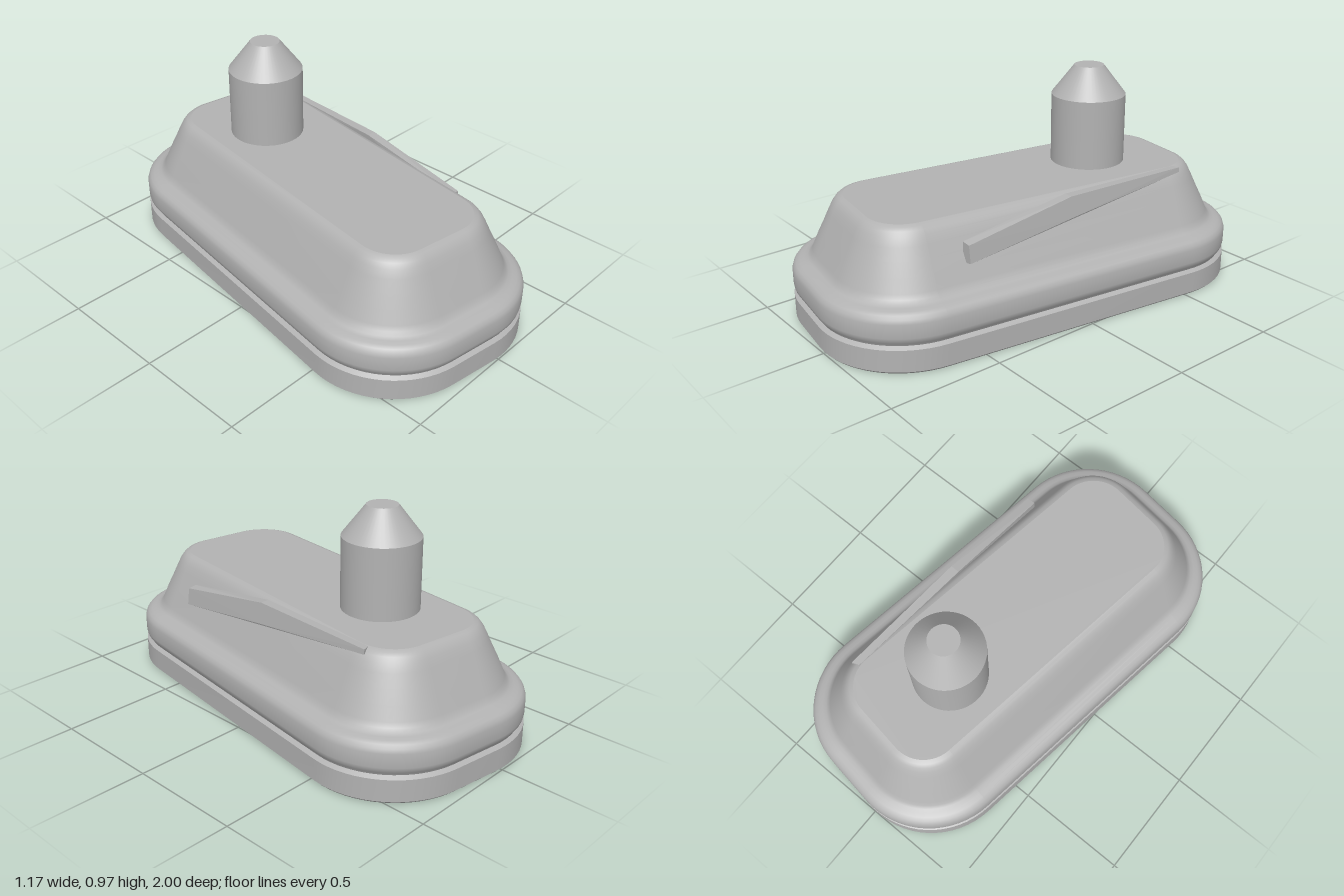
import * as THREE from 'three';
import { toCreasedNormals } from 'three/addons/utils/BufferGeometryUtils.js';
import { ConvexGeometry } from 'three/addons/geometries/ConvexGeometry.js';

const HALF_W = 0.497, HALF_L = 0.99, RADIUS = 0.385, ARC = 16;

// rounded rectangle outline, inset by d, as [x, z] pairs
function outline(d) {
  const r = RADIUS - d, cx = HALF_W - RADIUS, cz = HALF_L - RADIUS;
  const pts = [];
  [[1, 1], [-1, 1], [-1, -1], [1, -1]].forEach(([sx, sz], q) => {
    for (let i = 0; i <= ARC; i++) {
      const a = (q + i / ARC) * Math.PI / 2;
      pts.push(new THREE.Vector2(sx * cx + r * Math.cos(a), sz * cz + r * Math.sin(a)));
    }
  });
  return pts;
}

// wall lofted through a profile of [inset, height]
function loft(profile, crease) {
  const pos = [], idx = [];
  profile.forEach(([d, y]) => outline(d).forEach(p => pos.push(p.x, y, p.y)));
  const n = 4 * (ARC + 1);
  for (let j = 0; j < profile.length - 1; j++) {
    for (let i = 0; i < n; i++) {
      const a = j * n + i, b = j * n + (i + 1) % n;
      idx.push(a, a + n, b, b, a + n, b + n);
    }
  }
  const g = new THREE.BufferGeometry();
  g.setAttribute('position', new THREE.Float32BufferAttribute(pos, 3));
  g.setIndex(idx);
  return toCreasedNormals(g, crease);
}

export function createModel() {
  const grey = new THREE.MeshStandardMaterial({ color: 0xb2b2b2, side: THREE.DoubleSide });
  grey.name = 'grey';
  const model = new THREE.Group();
  model.name = 'footWithPin';
  const body = new THREE.Group();
  body.name = 'body';
  body.rotation.y = -0.1455;
  model.add(body);
  const add = (parent, name, geometry, x = 0, y = 0, z = 0) => {
    const m = new THREE.Mesh(geometry, grey);
    m.name = name;
    m.position.set(x, y, z);
    parent.add(m);
    return m;
  };

  // base slab, and the groove above it
  add(body, 'baseSlab', loft([[0.01, 0], [0, 0.01], [0, 0.105], [0.018, 0.116]], 0.4));

  // rounded rim flowing into the sloped housing
  add(body, 'housing', loft([
    [0.018, 0.116], [0.012, 0.128], [0.003, 0.14], [0, 0.155], [0, 0.215], [0.005, 0.232],
    [0.016, 0.246], [0.032, 0.254], [0.05, 0.259], [0.067, 0.265], [0.08, 0.278], [0.09, 0.298],
    [0.115, 0.355], [0.142, 0.41], [0.165, 0.46], [0.182, 0.494], [0.196, 0.513],
    [0.21, 0.525], [0.228, 0.531],
  ], 0.9));
  const top = new THREE.ShapeGeometry(new THREE.Shape(outline(0.228)));
  add(body, 'topPlate', top.rotateX(-Math.PI / 2), 0, 0.531, 0);

  // underside with a blind round socket
  const socketR = 0.16, socketDepth = 0.3;
  const under = new THREE.Shape(outline(0.01));
  under.holes.push(new THREE.Path().absarc(0, 0, socketR, 0, Math.PI * 2, true));
  add(body, 'underside', new THREE.ShapeGeometry(under, 24).rotateX(Math.PI / 2));
  add(body, 'socketWall',
    new THREE.CylinderGeometry(socketR, socketR, socketDepth, 48, 1, true), 0, socketDepth / 2, 0);
  add(body, 'socketCeiling',
    new THREE.CircleGeometry(socketR, 48).rotateX(Math.PI / 2), 0, socketDepth, 0);

  // upright pin with a tapered tip
  add(model, 'pinShaft', new THREE.CylinderGeometry(0.166, 0.166, 0.33, 48, 1, true), 0.035, 0.675, -0.38);
  add(model, 'pinTip', new THREE.CylinderGeometry(0.066, 0.166, 0.13, 48, 1, true), 0.035, 0.905, -0.38);
  add(model, 'pinEnd', new THREE.CircleGeometry(0.066, 48).rotateX(-Math.PI / 2), 0.035, 0.97, -0.38);

  // thin slanted rib along the left flank
  const rib = [
    [0.285, 0.45, 0.51], [0.325, 0.445, 0.51], [0.335, 0.37, 0.51], [0.285, 0.36, 0.51],
    [0.31, 0.531, 0], [0.352, 0.531, 0], [0.365, 0.44, 0],
    [0.36, 0.531, -0.6], [0.393, 0.531, -0.61], [0.395, 0.51, -0.61], [0.36, 0.5, -0.6],
  ].map(p => new THREE.Vector3(...p));
  add(model, 'sideRib', new ConvexGeometry(rib));

  return model;
}
